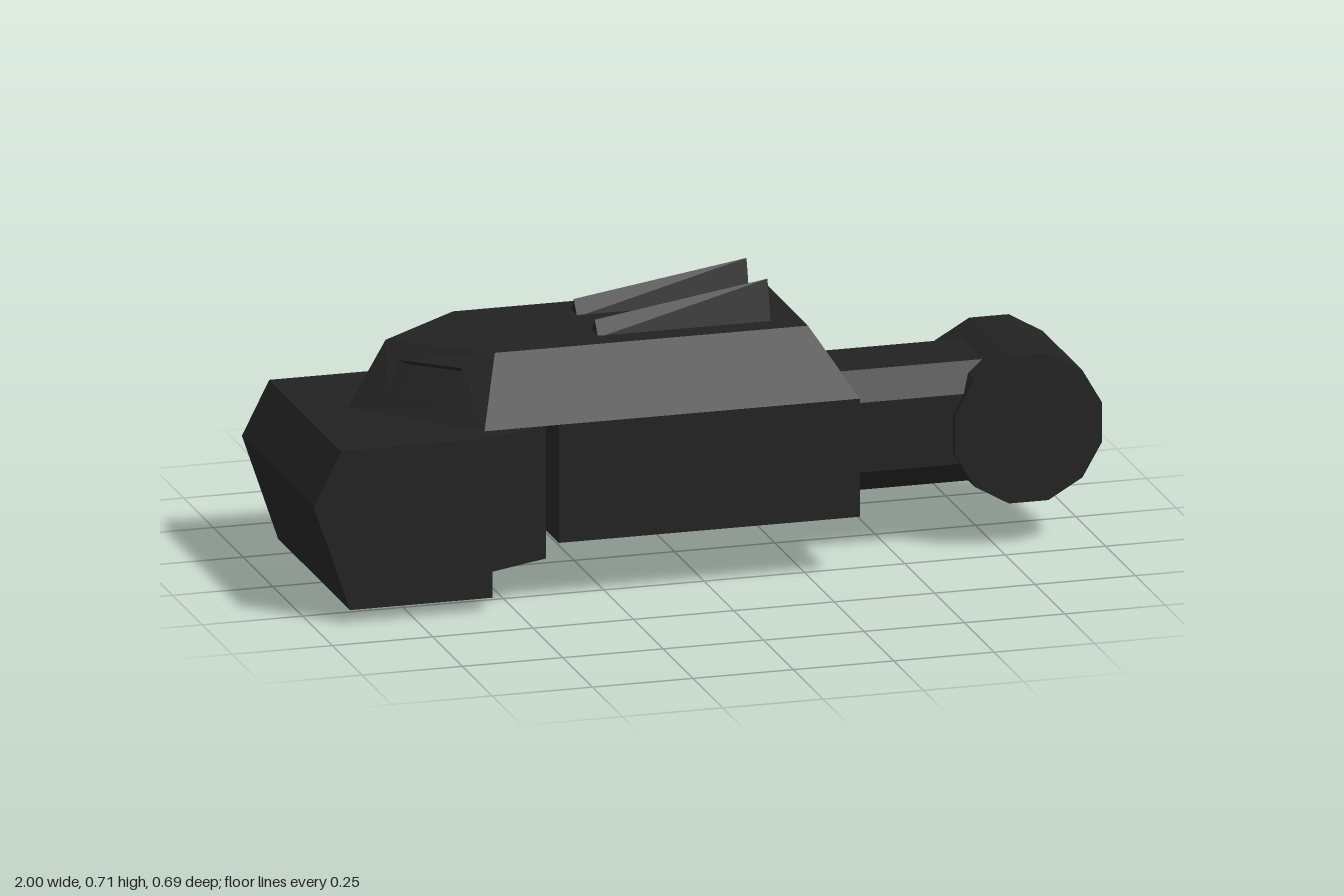
import * as THREE from 'three';

const charcoal = new THREE.MeshStandardMaterial({ color: 0x222222, flatShading: true });
charcoal.name = 'charcoal';

const ZC = 0.053; // centre line of the arm

function part(name, geometry) {
  const mesh = new THREE.Mesh(geometry, charcoal);
  mesh.name = name;
  return mesh;
}

// Outline in (x, y), extruded from z0 to z1
function prismZ(points, z0, z1) {
  const shape = new THREE.Shape(points.map(([x, y]) => new THREE.Vector2(x, y)));
  return new THREE.ExtrudeGeometry(shape, { depth: z1 - z0, bevelEnabled: false }).translate(0, 0, z0);
}

// Outline in (z, y), extruded from x0 to x1
function prismX(points, x0, x1) {
  return prismZ(points.map(([z, y]) => [-z, y]), x0, x1).rotateY(Math.PI / 2);
}

function boxBetween(x0, x1, y0, y1, z0, z1) {
  return new THREE.BoxGeometry(x1 - x0, y1 - y0, z1 - z0)
    .translate((x0 + x1) / 2, (y0 + y1) / 2, (z0 + z1) / 2);
}

// Move each vertex by a rule
function reshape(geometry, rule) {
  const pos = geometry.attributes.position;
  const v = new THREE.Vector3();
  for (let i = 0; i < pos.count; i++) {
    rule(v.fromBufferAttribute(pos, i));
    pos.setXYZ(i, v.x, v.y, v.z);
  }
  geometry.computeVertexNormals();
  return geometry;
}

// Sloped upper shell with a pointed nose and a sunken window on each nose face
function upperShell() {
  const out = [];
  const tri = (a, b, c) => [a, b, c].forEach((p) => out.push(p.x, p.y, p.z));
  const quad = (a, b, c, d) => { tri(a, b, c); tri(a, c, d); };
  const rim = (s) => {
    const at = (x, y, w) => new THREE.Vector3(x, y, ZC + s * w);
    return {
      b0: at(-0.83, 0.447, 0), b1: at(-0.57, 0.447, 0.275), b2: at(0.365, 0.447, 0.275),
      t0: at(-0.735, 0.609, 0), t1: at(-0.515, 0.609, 0.176), t2: at(0.265, 0.609, 0.176),
    };
  };
  const L = rim(1), R = rim(-1);

  for (const [p, s] of [[L, 1], [R, -1]]) {
    const face = (a, b, c, d) => (s > 0 ? quad(a, b, c, d) : quad(d, c, b, a));
    face(p.b1, p.b2, p.t2, p.t1);
    // nose panel: frame, recess walls and recess floor
    const outer = [p.b0, p.b1, p.t1, p.t0];
    const on = (u, v) => p.b0.clone().lerp(p.b1, u).lerp(p.t0.clone().lerp(p.t1, u), v);
    const hole = [on(0.24, 0.26), on(0.78, 0.26), on(0.735, 0.75), on(0.19, 0.75)];
    const inward = new THREE.Vector3(0.032, -0.022, -0.03 * s);
    const floor = hole.map((q) => q.clone().add(inward));
    for (let i = 0; i < 4; i++) {
      const j = (i + 1) % 4;
      face(outer[i], outer[j], hole[j], hole[i]);
      face(hole[i], hole[j], floor[j], floor[i]);
    }
    face(...floor);
  }
  quad(L.b2, R.b2, R.t2, L.t2);
  quad(L.t1, L.t2, R.t2, R.t1);
  tri(L.t0, L.t1, R.t1);
  quad(R.b1, R.b2, L.b2, L.b1);
  tri(R.b1, L.b1, L.b0);

  const g = new THREE.BufferGeometry();
  g.setAttribute('position', new THREE.Float32BufferAttribute(out, 3));
  g.computeVertexNormals();
  return g;
}

export function createModel() {
  const model = new THREE.Group();
  model.name = 'mechanicalArm';

  // Forearm
  model.add(part('forearmBox', boxBetween(-0.385, 0.365, 0.152, 0.447, ZC - 0.275, ZC + 0.275)));
  model.add(part('forearmShell', upperShell()));

  // Ridged fins, rising towards the elbow
  for (const z of [ZC - 0.088, ZC + 0.088]) {
    const fin = prismX([[z - 0.027, 0.605], [z + 0.027, 0.605], [z, 0.642]], -0.24, 0.19);
    model.add(part('fin', reshape(fin, (v) => { if (v.y > 0.62 && v.x > 0) v.y = 0.707; })));
  }

  // Fist: finger block, angled knuckle block and thumb
  model.add(part('fingers', prismZ(
    [[-0.91, 0.035], [-0.555, 0.035], [-0.555, 0.434], [-0.932, 0.434], [-1, 0.3]], -0.26, 0.345)));
  const palm = boxBetween(-0.555, -0.402, 0.1, 0.434, -0.26, 0.345);
  model.add(part('palm', reshape(palm, (v) => { if (v.x > -0.5 && v.z > 0) v.z = 0.278; })));
  model.add(part('thumb', prismX(
    [[-0.06, 0], [-0.06, 0.3], [-0.26, 0.3], [-0.342, 0]], -0.665, -0.402)));

  // Chamfered upper arm
  const a = 0.15, c = 0.087, y = 0.309;
  const octagon = [[a, -c], [a, c], [c, a], [-c, a], [-a, c], [-a, -c], [-c, -a], [c, -a]];
  model.add(part('upperArm', prismX(octagon.map(([dz, dy]) => [ZC + dz, y + dy]), 0.372, 0.8)));

  // Twelve-sided joint drum
  const drum = [];
  for (let i = 0; i < 12; i++) {
    const t = (i + 0.5) * Math.PI / 6;
    drum.push([0.817 + 0.1895 * Math.cos(t), 0.301 + 0.1895 * Math.sin(t)]);
  }
  model.add(part('jointDrum', prismZ(drum, ZC - 0.167, ZC + 0.167)));

  return model;
}
